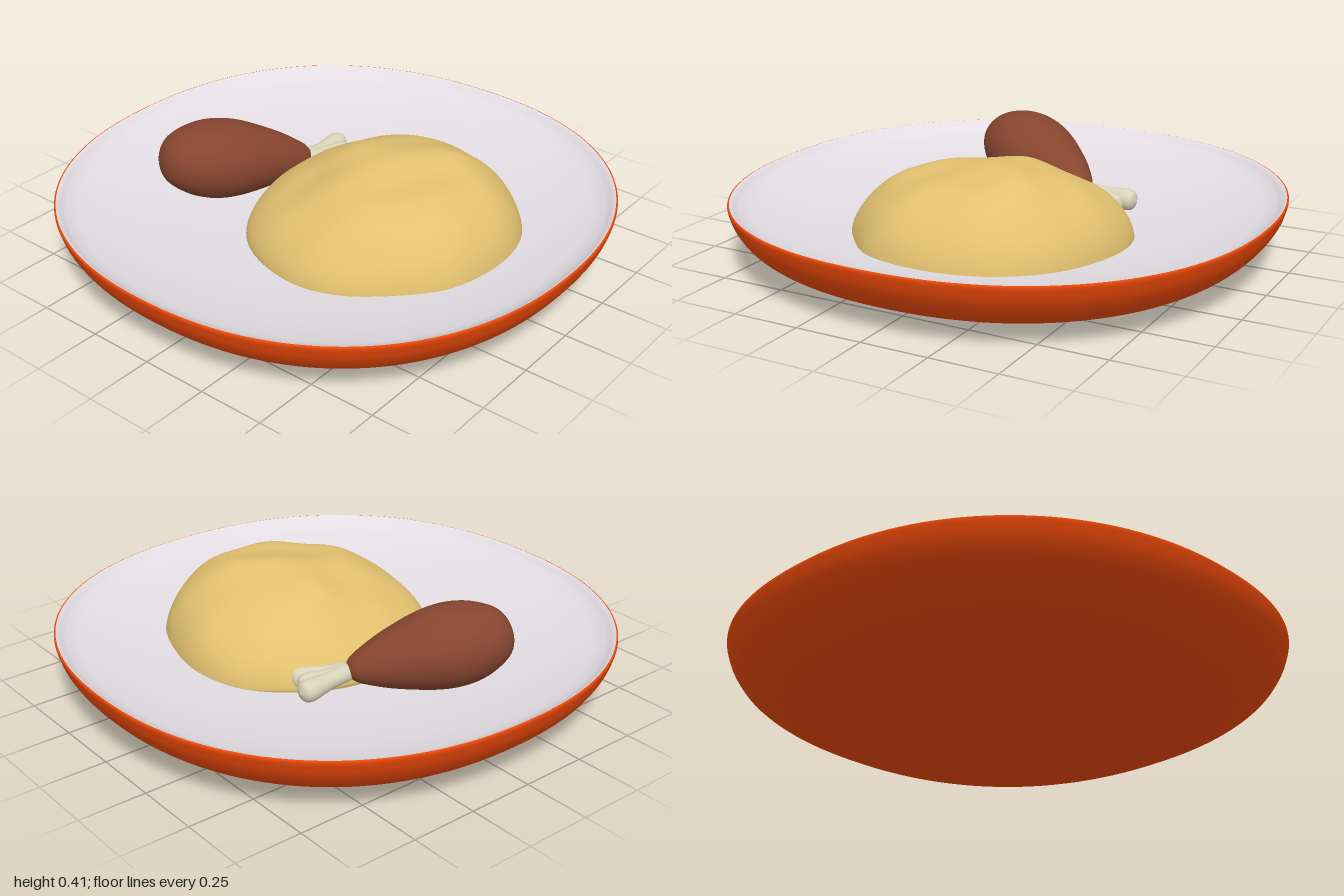
import * as THREE from 'three';

const UP = new THREE.Vector3(0, 1, 0);

const mat = (name, color) => {
  const m = new THREE.MeshStandardMaterial({ color });
  m.name = name;
  return m;
};

// Smooth lathe through a few [radius, height] points
function smoothLathe(points, steps, segments) {
  const curve = new THREE.SplineCurve(points.map(([r, y]) => new THREE.Vector2(r, y)));
  const profile = curve.getPoints(steps);
  profile.forEach((p) => { p.x = Math.max(0, p.x); });
  return new THREE.LatheGeometry(profile, segments);
}

// Lathe whose circles are pushed slightly towards a rounded square
function squarishLathe(points, steps) {
  const g = smoothLathe(points, steps, 160);
  const pos = g.attributes.position, n = 2.21;
  for (let i = 0; i < pos.count; i++) {
    const x = pos.getX(i), z = pos.getZ(i), r = Math.hypot(x, z);
    if (r < 1e-6) continue;
    const f = (Math.abs(x / r) ** n + Math.abs(z / r) ** n) ** (-1 / n);
    pos.setXYZ(i, x * f, pos.getY(i), z * f);
  }
  g.computeVertexNormals();
  return g;
}

// Lumpy heap: rings shrink from a drawn outline towards a rounded top
function moundGeometry() {
  const outline = [
    [0.53, 0.13], [0.5, 0.33], [0.42, 0.51], [0.25, 0.66], [0.04, 0.71], [-0.2, 0.66],
    [-0.35, 0.52], [-0.46, 0.36], [-0.49, 0.2], [-0.44, 0], [-0.35, -0.14], [-0.2, -0.24],
    [0, -0.29], [0.2, -0.26], [0.35, -0.18], [0.48, -0.05],
  ].map(([x, z]) => new THREE.Vector3(x, 0, z));
  const curve = new THREE.CatmullRomCurve3(outline, true);
  const cx = 0.03, cz = 0.22, sides = 96, rings = 36;
  const pos = [], index = [];
  for (let i = 0; i <= rings + 1; i++) {
    const skirt = i > rings;
    // Rings crowd together near the steep edge
    const t = skirt ? 0.97 : Math.sin((i / rings) * Math.PI / 2);
    for (let j = 0; j < sides; j++) {
      const p = curve.getPoint(j / sides);
      const dx = p.x - cx, dz = p.z - cz, d0 = Math.hypot(dx, dz);
      const x = cx + dx * t, z = cz + dz * t;
      // Steep at the front and right, gentle at the back and left
      const power = 2.55 + (0.9 * dz + 0.4 * dx) / d0 * Math.min(1, t * 2);
      const peak = 0.024 * Math.exp(-((x - 0.13) ** 2 + (z - 0.26) ** 2) / 0.015);
      const lumps = 0.008 * Math.sin(11 * x + 5 * z + 0.4) * Math.cos(9 * z - 3 * x)
        + 0.007 * Math.sin(19 * x - 8 * z) * Math.sin(15 * z + 6 * x + 1);
      const y = 0.12 + 0.272 * Math.max(0, 1 - t ** power) ** 0.6
        + peak + lumps * (1 - t ** 6);
      pos.push(x, skirt ? 0.08 : y, z);
      if (i <= rings) {
        const k = (j + 1) % sides;
        const a = i * sides + j, d = i * sides + k;
        const b = a + sides, c = d + sides;
        if (i > 0) index.push(a, d, c);
        index.push(a, c, b);
      }
    }
  }
  const g = new THREE.BufferGeometry();
  g.setAttribute('position', new THREE.Float32BufferAttribute(pos, 3));
  g.setIndex(index);
  g.computeVertexNormals();
  // All centre vertices share one upward normal
  for (let j = 0; j < sides; j++) g.attributes.normal.setXYZ(j, 0, 1, 0);
  return g;
}

export function createModel() {
  const group = new THREE.Group();
  const orange = mat('orange glaze', 0xe84708);
  const white = mat('white glaze', 0xe2dde2);
  const cream = mat('mashed cream', 0xe2c170);
  const brown = mat('roast brown', 0x86452f);
  const ivory = mat('bone ivory', 0xd8d3ba);

  const add = (name, geometry, material, parent = group) => {
    const mesh = new THREE.Mesh(geometry, material);
    mesh.name = name;
    parent.add(mesh);
    return mesh;
  };

  // Plate: orange outside, white inside
  add('plateOutside', squarishLathe([
    [0, 0], [0.25, 0], [0.5, 0.003], [0.65, 0.013], [0.77, 0.033], [0.87, 0.07],
    [0.94, 0.12], [0.98, 0.175], [0.997, 0.22], [1, 0.24], [0.994, 0.244],
  ], 60), orange);
  add('plateInside', squarishLathe([
    [0.994, 0.244], [0.982, 0.237], [0.955, 0.217], [0.9, 0.195], [0.75, 0.161],
    [0.5, 0.127], [0.25, 0.108], [0, 0.1],
  ], 50), white);

  // Heap of mash
  add('mashMound', moundGeometry(), cream);

  // Drumstick meat: slightly flattened pear on a sinking axis
  const drumstick = new THREE.Group();
  drumstick.name = 'drumstick';
  group.add(drumstick);
  const start = new THREE.Vector3(-0.345, 0.305, -0.56);
  const end = new THREE.Vector3(0.175, 0.18, -0.28);
  const axis = end.clone().sub(start).normalize();
  const meatGeometry = smoothLathe([
    [0, -0.005], [0.05, 0.002], [0.095, 0.027], [0.13, 0.075], [0.157, 0.14], [0.168, 0.22],
    [0.157, 0.315], [0.115, 0.45], [0.072, 0.545], [0.042, 0.59], [0, 0.612],
  ], 48, 48);
  meatGeometry.applyQuaternion(new THREE.Quaternion().setFromUnitVectors(UP, axis));
  meatGeometry.scale(1, 0.88, 1);
  add('meat', meatGeometry, brown, drumstick).position.copy(start).setY(start.y - 0.01);

  // Bone: branches fan out from one root into two knobs
  const root = new THREE.Vector3(0.16, 0.185, -0.283);
  const branches = [
    ['boneKnob', 0.388, 0.166, -0.285, 0.041],
    ['boneKnob', 0.328, 0.152, -0.15, 0.041],
    ['boneShaft', 0.352, 0.159, -0.222, 0.038],
  ];
  for (const [name, x, y, z, r] of branches) {
    const direction = new THREE.Vector3(x, y, z).sub(root);
    const l = direction.length();
    const branch = add(name, smoothLathe([
      [0, 0], [0.03, 0.01], [0.031, l * 0.4], [r * 0.88, l - 0.085], [r, l - 0.045],
      [r * 0.8, l - 0.014], [0, l],
    ], 36, 24), ivory, drumstick);
    branch.position.copy(root);
    branch.quaternion.setFromUnitVectors(UP, direction.normalize());
  }

  return group;
}
